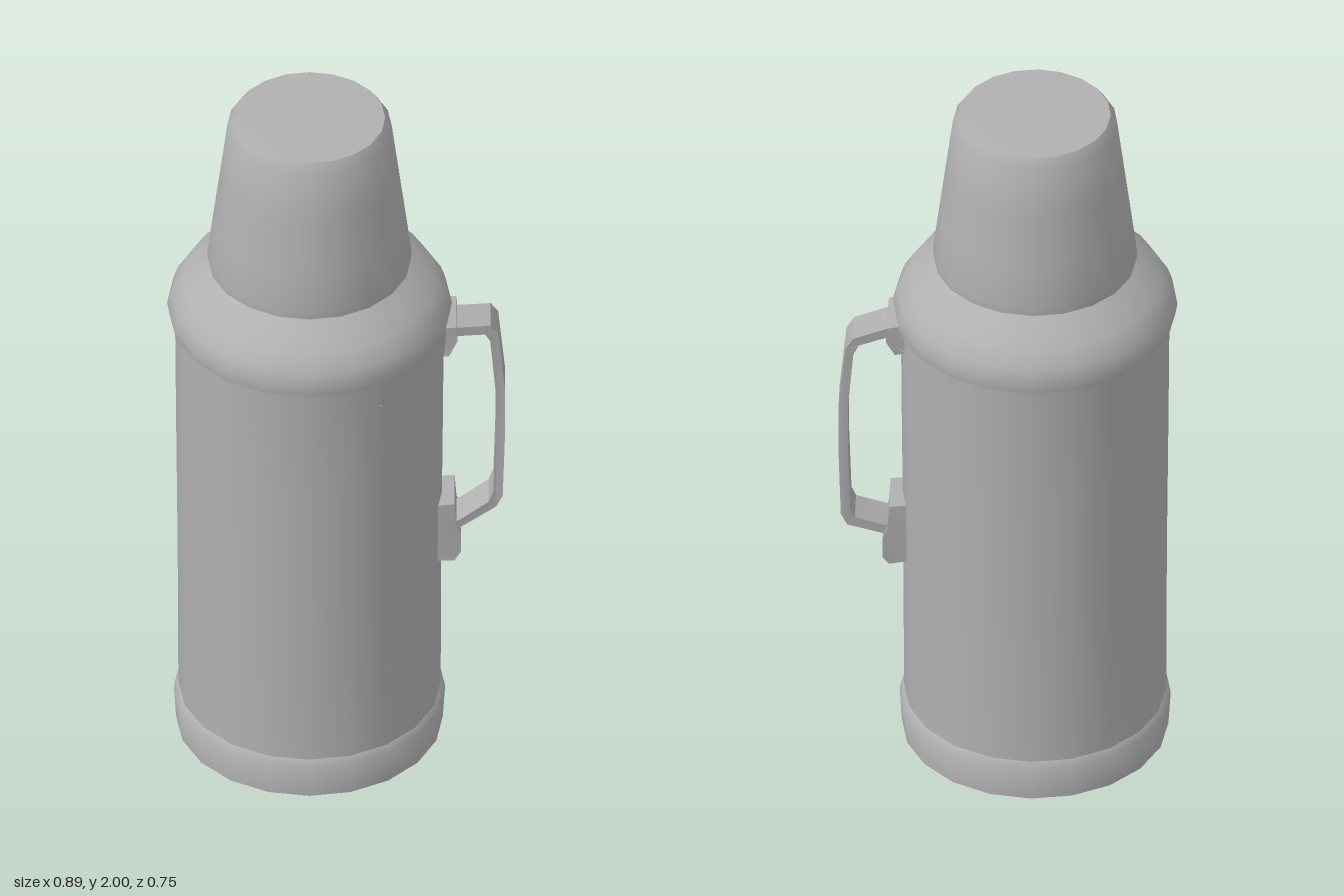
import * as THREE from 'three';
import { toCreasedNormals } from 'three/addons/utils/BufferGeometryUtils.js';

const AXIS_X = -0.073; // the flask sits off-centre to make room for the handle

export function createModel() {
  const group = new THREE.Group();
  const grey = new THREE.MeshStandardMaterial({ color: 0xb0b0b0 });
  grey.name = 'grey';
  grey.side = THREE.DoubleSide;

  function add(name, geometry, crease = 0.9) {
    const mesh = new THREE.Mesh(toCreasedNormals(geometry, crease), grey);
    mesh.name = name;
    group.add(mesh);
    return mesh;
  }

  // Turned part around the flask axis, profile given as [radius, height]
  function turned(name, profile, start = 0, sweep = Math.PI * 2, segments = 20) {
    const points = profile.map(([r, y]) => new THREE.Vector2(r, y));
    add(name, new THREE.LatheGeometry(points, segments, start, sweep)).position.x = AXIS_X;
  }

  turned('baseBand', [[0, 0.005], [0.33, 0.005], [0.352, 0.02], [0.358, 0.12], [0.346, 0.135]]);
  turned('body', [[0.346, 0.12], [0.348, 0.6], [0.352, 1.0], [0.355, 1.36]]);
  turned('collar', [[0.345, 1.345], [0.37, 1.35], [0.376, 1.385], [0.364, 1.42],
    [0.335, 1.465], [0.29, 1.495], [0.258, 1.525], [0.24, 1.535]]);
  turned('cup', [[0.235, 1.53], [0.268, 1.53], [0.27, 1.55], [0.255, 1.67], [0.236, 1.82],
    [0.217, 1.97], [0.2, 1.995], [0, 2.0]]);

  // Strap tucked under the collar, reaching from the front round to the handle
  turned('strap', [[0.345, 1.265], [0.364, 1.275], [0.368, 1.35]], 0.55, 1.25, 8);

  // Extruded side outline, swung slightly towards the back as it leaves the body
  function swung(name, outline, width) {
    const shape = new THREE.Shape(outline.map(([x, y]) => new THREE.Vector2(x, y)));
    const geometry = new THREE.ExtrudeGeometry(shape, { depth: width, bevelEnabled: false });
    geometry.translate(0, 0, -width / 2);
    const p = geometry.attributes.position;
    for (let i = 0; i < p.count; i++) {
      p.setZ(i, p.getZ(i) - 0.045 * THREE.MathUtils.clamp((p.getX(i) - 0.28) / 0.14, 0, 1));
    }
    add(name, geometry, 0.6);
  }

  const outer = [[0.27, 1.34], [0.33, 1.328], [0.405, 1.315], [0.425, 1.285], [0.443, 1.1],
    [0.443, 0.95], [0.437, 0.75], [0.42, 0.715], [0.33, 0.67], [0.27, 0.645]];
  const inner = [[0.27, 0.675], [0.325, 0.695], [0.4, 0.735], [0.412, 0.765], [0.418, 0.95],
    [0.418, 1.1], [0.404, 1.265], [0.39, 1.29], [0.33, 1.3], [0.27, 1.305]];
  swung('handle', [...outer, ...inner], 0.1);

  // Mounts joining the handle to the body
  swung('upperMount', [[0.25, 1.26], [0.295, 1.255], [0.318, 1.3], [0.315, 1.345], [0.25, 1.35]], 0.14);
  swung('lowerMount', [[0.25, 0.58], [0.31, 0.575], [0.327, 0.6], [0.327, 0.66], [0.315, 0.69],
    [0.31, 0.76], [0.25, 0.76]], 0.13);

  return group;
}
